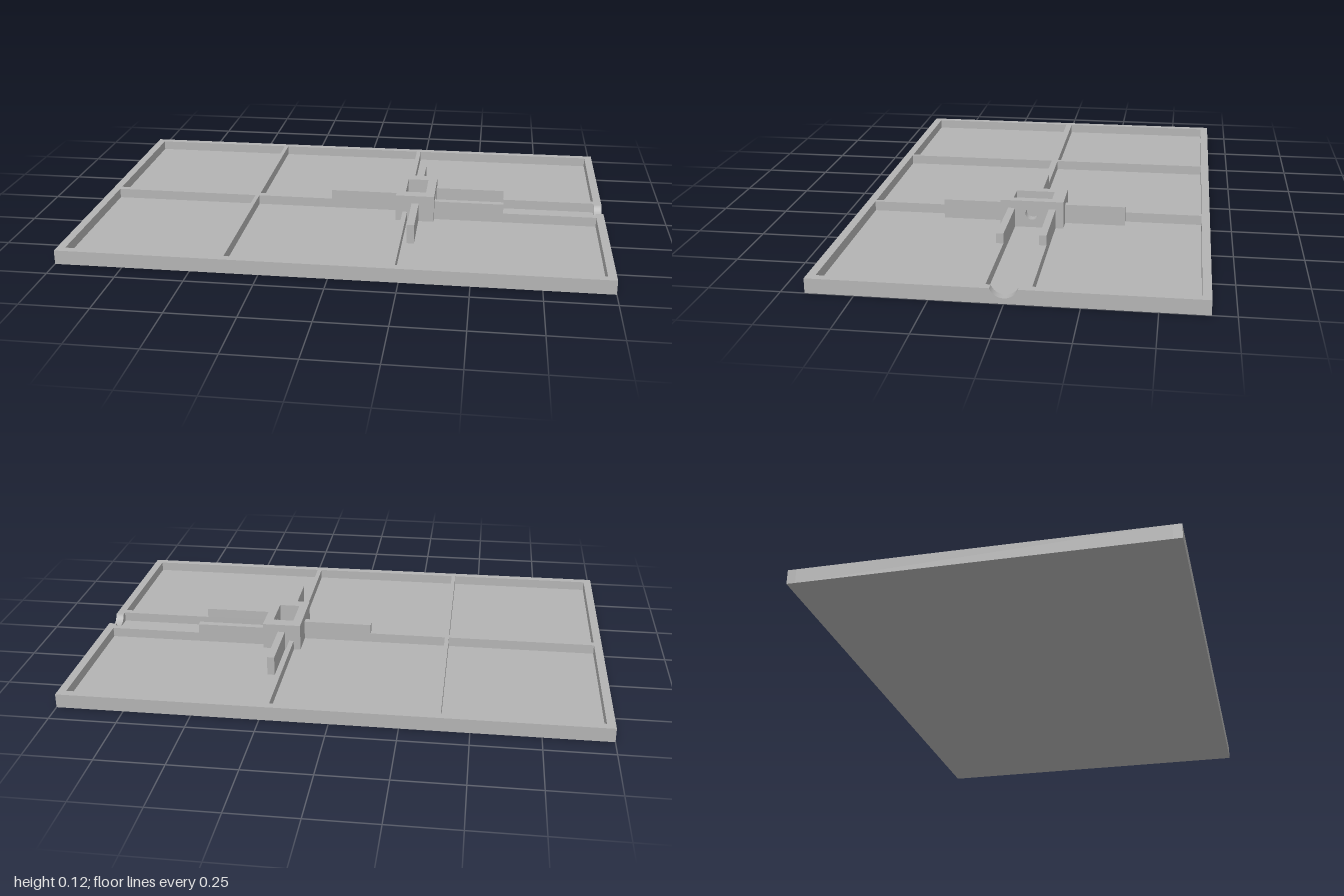
import * as THREE from 'three';

const FLOOR = 0.016, RIM = 0.053, TALL = 0.09, HUB = 0.12;
const X = 1, Z = 0.667, IX = 0.969, IZ = 0.636; // outer and inner half sizes

export function createModel() {
  const model = new THREE.Group();
  model.name = 'ribbedTray';
  const grey = new THREE.MeshStandardMaterial({ color: 0xb3b3b3 });
  grey.name = 'plainGrey';

  const add = (name, geometry) => {
    const mesh = new THREE.Mesh(geometry, grey);
    mesh.name = name;
    model.add(mesh);
    return mesh;
  };

  // Box given by its limits along each axis
  const block = (name, x0, x1, y0, y1, z0, z1) =>
    add(name, new THREE.BoxGeometry(x1 - x0, y1 - y0, z1 - z0))
      .position.set((x0 + x1) / 2, (y0 + y1) / 2, (z0 + z1) / 2);

  // Upright plate drawn in the z-y plane and extruded from x0 to x1
  const plate = (name, shape, x0, x1) => {
    const geometry = new THREE.ExtrudeGeometry(shape, { depth: x1 - x0, bevelEnabled: false, curveSegments: 32 });
    geometry.rotateY(Math.PI / 2).translate(x0, 0, 0);
    add(name, geometry);
  };

  // Floor and rim
  block('floor', -IX, IX, 0, FLOOR, -IZ, IZ);
  block('frontRim', -X, X, 0, RIM, IZ, Z);
  block('backRim', -X, X, 0, RIM, -Z, -IZ);
  block('rightRim', -X, -IX, 0, RIM, -IZ, IZ);

  // Left rim with a round notch for the cable
  const notchY = 0.07, notchR = 0.05;
  const a = Math.asin((notchY - RIM) / notchR);
  const rim = new THREE.Shape();
  rim.moveTo(-IZ, 0);
  rim.lineTo(IZ, 0);
  rim.lineTo(IZ, RIM);
  rim.absarc(0, notchY, notchR, -a, a - Math.PI, true);
  rim.lineTo(-IZ, RIM);
  plate('leftRim', rim, IX, X);

  // Low ribs between the pockets
  block('centreRib', -IX, 0.19, FLOOR, RIM, -0.013, 0.013);
  for (const s of [-1, 1]) {
    const span = (from, to) => (s > 0 ? [from, to] : [-to, -from]);
    block('crossRib', -0.396, -0.38, FLOOR, RIM, ...span(0.013, IZ));
    block('crossRib', 0.217, 0.235, FLOOR, RIM, ...span(0.12, IZ));
    block('channelRib', 0.34, IX, FLOOR, RIM, ...span(0.064, 0.09));
    // Raised braces around the hub
    block('channelBrace', 0.34, 0.61, RIM, TALL, ...span(0.064, 0.09));
    block('sideBrace', 0.252, 0.28, FLOOR, TALL, ...span(0.12, 0.348));
    // Hub side walls
    block('hubSideWall', 0.225, 0.305, FLOOR, HUB, ...span(0.073, 0.12));
  }
  block('centreBrace', -0.08, 0.19, RIM, TALL, -0.013, 0.013);

  // Hub end walls, one pierced by a round hole
  block('hubEndWall', 0.19, 0.225, FLOOR, HUB, -0.12, 0.12);
  const wall = new THREE.Shape([
    new THREE.Vector2(-0.12, FLOOR), new THREE.Vector2(0.12, FLOOR),
    new THREE.Vector2(0.12, HUB), new THREE.Vector2(-0.12, HUB),
  ]);
  wall.holes.push(new THREE.Path().absarc(0, 0.07, 0.024, 0, Math.PI * 2, true));
  plate('hubPiercedWall', wall, 0.305, 0.34);

  return model;
}
